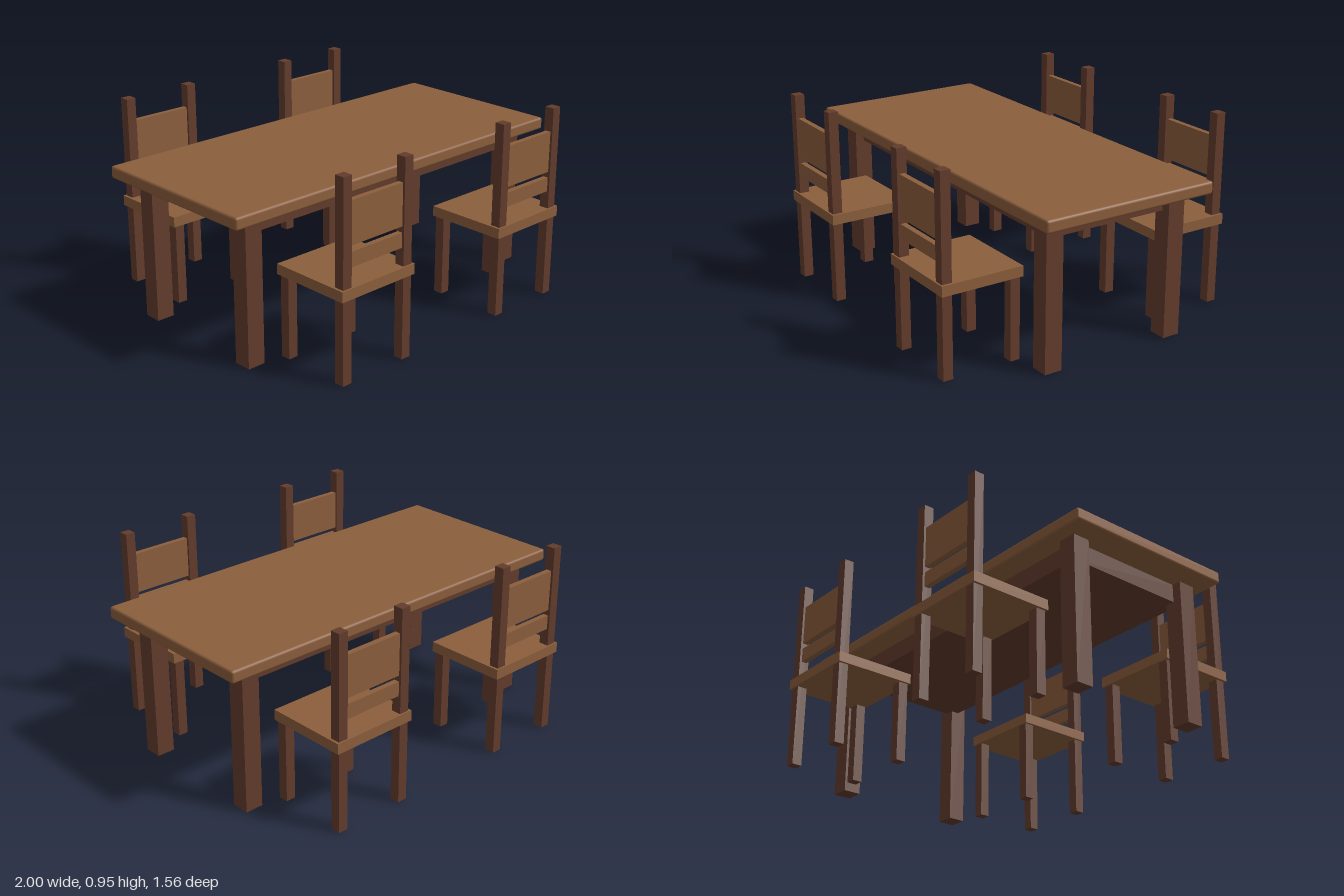
import * as THREE from 'three';
import { RoundedBoxGeometry } from 'three/addons/geometries/RoundedBoxGeometry.js';

const lightWood = new THREE.MeshStandardMaterial({ color: 0x8b5e3c });
lightWood.name = 'light wood';
const darkWood = new THREE.MeshStandardMaterial({ color: 0x623c2b });
darkWood.name = 'dark wood';

// Box with its underside at height y
function box(parent, name, material, [w, h, d], [x, y, z]) {
  const mesh = new THREE.Mesh(new THREE.BoxGeometry(w, h, d), material);
  mesh.name = name;
  mesh.position.set(x, y + h / 2, z);
  parent.add(mesh);
}

function createTable() {
  const table = new THREE.Group();
  table.name = 'table';

  // Top with softened edges
  const top = new THREE.Mesh(new RoundedBoxGeometry(2, 0.06, 0.893, 2, 0.012), lightWood);
  top.name = 'tableTop';
  top.position.y = 0.73;
  table.add(top);

  // Solid apron block between the legs
  box(table, 'apron', darkWood, [1.7, 0.09, 0.66], [0, 0.61, 0]);

  for (const sx of [-1, 1]) {
    for (const sz of [-1, 1]) {
      box(table, 'tableLeg', darkWood, [0.09, 0.7, 0.088], [sx * 0.85, 0, sz * 0.331]);
    }
  }
  return table;
}

// Chair centred on its seat, with the backrest towards +z
function createChair() {
  const chair = new THREE.Group();
  chair.name = 'chair';
  box(chair, 'seat', lightWood, [0.435, 0.05, 0.41], [0, 0.4, 0]);

  for (const s of [-1, 1]) {
    box(chair, 'frontLeg', darkWood, [0.049, 0.4, 0.049], [s * 0.18, 0, -0.172]);
    box(chair, 'backPost', darkWood, [0.049, 0.95, 0.049], [s * 0.18, 0, 0.172]);
  }

  // Backrest slats
  box(chair, 'upperSlat', lightWood, [0.32, 0.2, 0.027], [0, 0.634, 0.172]);
  box(chair, 'lowerSlat', lightWood, [0.32, 0.07, 0.027], [0, 0.535, 0.172]);
  return chair;
}

export function createModel() {
  const model = new THREE.Group();
  model.name = 'diningSet';
  model.add(createTable());

  // Two chairs on each long side, facing the table
  for (const x of [-0.5, 0.5]) {
    for (const side of [-1, 1]) {
      const chair = createChair();
      chair.position.set(x, 0, side * 0.574);
      if (side < 0) chair.rotation.y = Math.PI;
      model.add(chair);
    }
  }
  return model;
}
